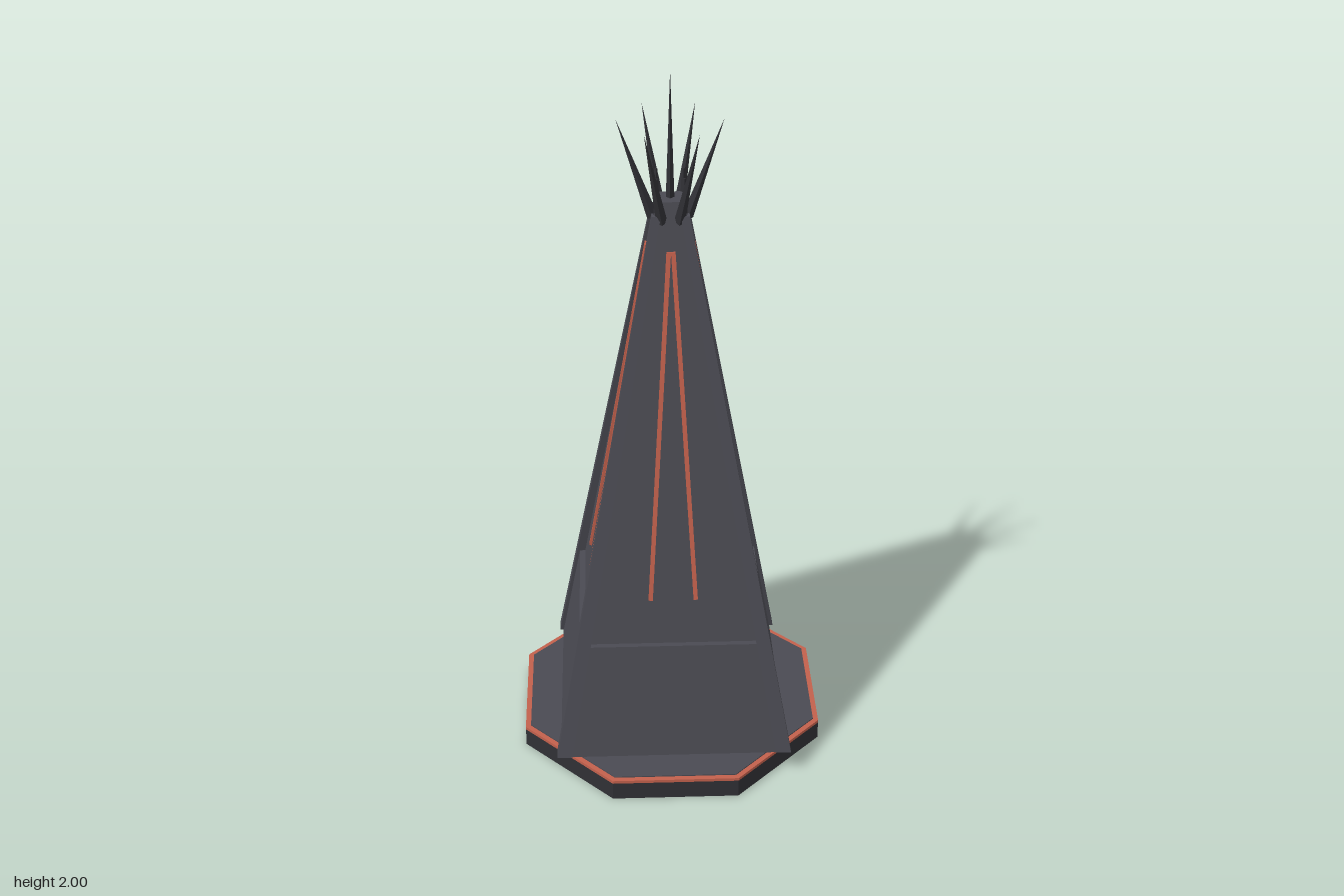
import * as THREE from 'three';

const mat = (name, color) => {
  const m = new THREE.MeshStandardMaterial({ color, flatShading: true });
  m.name = name;
  return m;
};

export function createModel() {
  const model = new THREE.Group();
  model.name = 'spireTower';
  const stone = mat('slate grey', 0x4a4a52);
  const dark = mat('dark grey', 0x303035);
  const glow = mat('ember orange', 0xc2604c);
  const UP = new THREE.Vector3(0, 1, 0);

  const add = (name, geo, material, parent = model) => {
    const mesh = new THREE.Mesh(geo, material);
    mesh.name = name;
    parent.add(mesh);
    return mesh;
  };
  // Square frustum between two heights, given half widths
  const frustum = (bottom, top, y0, y1) =>
    new THREE.CylinderGeometry(top * Math.SQRT2, bottom * Math.SQRT2, y1 - y0, 4)
      .rotateY(Math.PI / 4).translate(0, (y0 + y1) / 2, 0);
  // Octagonal slab with flat sides on the axes
  const octagon = (apothem, y0, y1) => {
    const r = apothem / Math.cos(Math.PI / 8);
    return new THREE.CylinderGeometry(r, r, y1 - y0, 8)
      .rotateY(Math.PI / 8).translate(0, (y0 + y1) / 2, 0);
  };
  // Lay a geometry that is centred on its y axis between two points
  const between = (mesh, a, b) => {
    mesh.position.copy(a).add(b).multiplyScalar(0.5);
    mesh.quaternion.setFromUnitVectors(UP, b.clone().sub(a).normalize());
  };

  // Plinth with its orange rim
  add('plinth', octagon(0.43, 0, 0.054), dark);
  add('plinthRim', octagon(0.43, 0.054, 0.063), glow);
  add('plinthTop', octagon(0.415, 0.056, 0.066), stone);

  // Tapered body: skirt with a ledge, then the tall shaft
  add('skirt', frustum(0.325, 0.265, 0.067, 0.407), stone);
  add('shaft', frustum(0.25, 0.037, 0.4, 1.655), stone);

  // Corner ridges and the short posts at their tops
  for (const sx of [-1, 1]) for (const sz of [-1, 1]) {
    const geo = new THREE.BoxGeometry(1, 1, 1);
    const p = geo.attributes.position;
    for (let i = 0; i < p.count; i++) {
      const t = p.getY(i) + 0.5;
      const width = 0.044 - 0.02 * t;
      const centre = 0.335 - 0.285 * t - width / 2;
      p.setXYZ(i, sx * centre + p.getX(i) * width, 0.073 + 1.547 * t, sz * centre + p.getZ(i) * width);
    }
    geo.computeVertexNormals();
    add('cornerRidge', geo, stone);
    const post = add('cornerPost', new THREE.CylinderGeometry(0.004, 0.01, 0.13, 4), dark);
    post.position.set(sx * 0.036, 1.655, sz * 0.036);
  }

  // Pair of light strips on each face
  for (let f = 0; f < 4; f++) {
    const face = new THREE.Group();
    face.name = 'faceStrips';
    face.rotation.y = f * Math.PI / 2;
    model.add(face);
    for (const s of [-1, 1]) {
      const a = new THREE.Vector3(s * 0.063, 0.54, 0.228);
      const b = new THREE.Vector3(s * 0.006, 1.525, 0.061);
      between(add('lightStrip', new THREE.BoxGeometry(0.012, a.distanceTo(b), 0.012), glow, face), a, b);
    }
  }

  // Crown of spikes around a tall central one
  const centreSpike = add('centreSpike', new THREE.ConeGeometry(0.013, 0.4, 4), dark);
  centreSpike.position.y = 1.8;
  for (let i = 0; i < 6; i++) {
    const c = Math.cos(i * Math.PI / 3), s = Math.sin(i * Math.PI / 3);
    const a = new THREE.Vector3(c * 0.046, 1.6, s * 0.046);
    const b = new THREE.Vector3(c * 0.14, 1.87, s * 0.14);
    between(add('crownSpike', new THREE.ConeGeometry(0.015, a.distanceTo(b), 4), dark), a, b);
  }

  // Octagonal rear portal sunk into the sloping skirt
  const disc = (r, depth, z) => new THREE.CylinderGeometry(r, r, depth, 8)
    .rotateX(Math.PI / 2).translate(0, 0.285, z);
  add('portalFrame', disc(0.13, 0.05, -0.265), stone);
  add('portalPane', disc(0.112, 0.009, -0.2935), glow);

  // Small ringed beacon on the plinth
  const beacon = new THREE.Group();
  beacon.name = 'beacon';
  beacon.position.set(0.19, 0.064, -0.4);
  model.add(beacon);
  add('beaconMast', new THREE.ConeGeometry(0.011, 0.145, 4).translate(0, 0.0725, 0), dark, beacon);
  for (let i = 0; i < 4; i++) {
    const w = 0.028 - i * 0.005;
    add('beaconRing', new THREE.BoxGeometry(w, 0.006, w).translate(0, 0.006 + i * 0.023, 0), i % 2 ? dark : glow, beacon);
  }

  return model;
}
